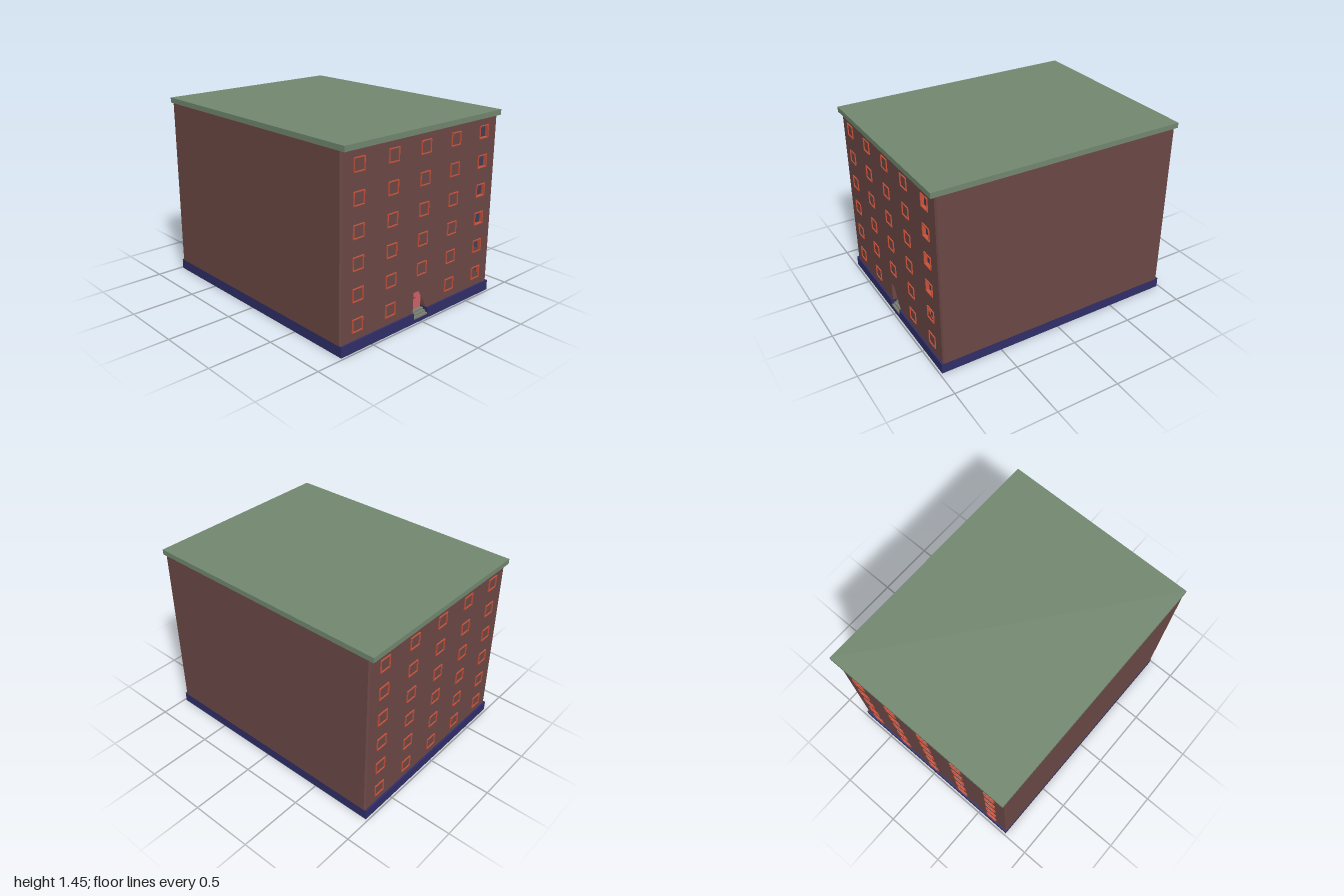
import * as THREE from 'three';

const mat = (color) => new THREE.MeshStandardMaterial({ color, side: THREE.DoubleSide, flatShading: true });
const M = {
  wall: mat(0x6b4845), base: mat(0x302e68), roof: mat(0x71876f), frame: mat(0xc8523a),
  glass: mat(0x403f58), door: mat(0xcd6065), step: mat(0x7a7d70), handle: mat(0x333333),
};

function add(parent, name, geometry, material, x = 0, y = 0, z = 0) {
  const mesh = new THREE.Mesh(geometry, material);
  mesh.name = name;
  mesh.position.set(x, y, z);
  parent.add(mesh);
  return mesh;
}

// Box given by its minimum and maximum corners
function box(parent, name, material, [x0, y0, z0], [x1, y1, z1]) {
  return add(parent, name, new THREE.BoxGeometry(x1 - x0, y1 - y0, z1 - z0), material,
    (x0 + x1) / 2, (y0 + y1) / 2, (z0 + z1) / 2);
}

const points = (list) => list.map(([x, y]) => new THREE.Vector2(x, y));
const rect = (w, h, x = 0, y = 0) => points([
  [x - w / 2, y - h / 2], [x + w / 2, y - h / 2], [x + w / 2, y + h / 2], [x - w / 2, y + h / 2]]);

const COLUMNS = [-0.628, -0.314, 0, 0.314, 0.628];
const ROWS = [0.191, 0.414, 0.637, 0.859, 1.082, 1.305];
const SIZE = 0.098, INNER = 0.085;
const BOTTOM = 0.08, TOP = 1.412, FACE = 0.97, DOOR = 0.073;

const frameShape = new THREE.Shape(rect(SIZE, SIZE));
frameShape.holes.push(new THREE.Path(rect(INNER, INNER)));
const frameGeometry = new THREE.ExtrudeGeometry(frameShape, { depth: 0.03, bevelEnabled: false });
const glassGeometry = new THREE.PlaneGeometry(INNER, INNER);

// Grid of framed windows on a facade facing +z
function windows(name, hasDoor) {
  const group = new THREE.Group();
  group.name = name;
  COLUMNS.forEach((x, c) => ROWS.forEach((y, r) => {
    if (hasDoor && c === 2 && r === 0) return;
    add(group, 'windowFrame', frameGeometry, M.frame, x, y, FACE - 0.022);
    add(group, 'windowGlass', glassGeometry, M.glass, x, y, FACE - 0.018);
  }));
  return group;
}

export function createModel() {
  const model = new THREE.Group();
  model.name = 'apartmentBlock';

  // Roof slab
  box(model, 'roof', M.roof, [-0.783, TOP, -1], [0.783, 1.452, 1]);

  // Plinth with a notch for the entrance steps
  box(model, 'plinth', M.base, [-0.783, 0, -0.983], [0.783, BOTTOM, 0.905]);
  const front = new THREE.Shape(points([
    [-0.783, 0], [0.783, 0], [0.783, BOTTOM], [DOOR, BOTTOM],
    [DOOR, 0.03], [-DOOR, 0.03], [-DOOR, BOTTOM], [-0.783, BOTTOM]]));
  add(model, 'plinthFront', new THREE.ExtrudeGeometry(front, { depth: 0.078, bevelEnabled: false }),
    M.base, 0, 0, 0.905);

  // Side, back and corner wall panels between neighbouring plan corners
  const plan = [[0.77, FACE], [0.783, 0.96], [0.783, -0.96], [0.77, -FACE],
    [-0.77, -FACE], [-0.783, -0.96], [-0.783, 0.96], [-0.77, FACE]];
  for (let i = 0; i < plan.length - 1; i++) {
    const [x0, z0] = plan[i], [x1, z1] = plan[i + 1];
    const panel = add(model, 'wallPanel',
      new THREE.PlaneGeometry(Math.hypot(x1 - x0, z1 - z0), TOP - BOTTOM), M.wall,
      (x0 + x1) / 2, (TOP + BOTTOM) / 2, (z0 + z1) / 2);
    panel.rotation.y = Math.atan2(z0 - z1, x1 - x0);
  }

  // Front wall with a slanted door opening and one column of open windows
  const wall = new THREE.Shape(points([
    [-0.77, BOTTOM], [-DOOR, BOTTOM], [-DOOR, 0.24], [-0.02, 0.24], [DOOR, BOTTOM],
    [0.77, BOTTOM], [0.77, TOP], [-0.77, TOP]]));
  const openX = COLUMNS[4], x0 = openX - INNER / 2, x1 = openX + INNER / 2;
  ROWS.slice(2).forEach((y) => wall.holes.push(new THREE.Path(rect(INNER, INNER, openX, y))));
  wall.holes.push(
    new THREE.Path(points([[x0, 0.425], [x1, 0.372], [x1, 0.456], [x0, 0.456]])),
    new THREE.Path(points([[0.602, 0.233], [x1, 0.174], [x1, 0.233]])));
  add(model, 'frontWall', new THREE.ShapeGeometry(wall), M.wall, 0, 0, FACE);

  // Windows on both facades
  model.add(windows('frontWindows', true));
  const back = windows('backWindows', false);
  back.rotation.y = Math.PI;
  model.add(back);

  // Recessed double door, its reveal and handles
  const entrance = new THREE.Group();
  entrance.name = 'entrance';
  model.add(entrance);
  for (const s of [-1, 1]) {
    box(entrance, 'doorLeaf', M.door, [s < 0 ? -DOOR : 0, 0.067, 0.905], [s < 0 ? 0 : DOOR, 0.24, 0.912]);
    box(entrance, 'doorHandle', M.handle, [s * 0.008 - 0.004, 0.155, 0.912], [s * 0.008 + 0.004, 0.158, 0.916]);
    box(entrance, 'doorReveal', M.wall,
      [s * (DOOR + 0.002) - 0.002, BOTTOM, 0.905], [s * (DOOR + 0.002) + 0.002, 0.24, 0.969]);
  }
  box(entrance, 'doorLintel', M.wall, [-DOOR, 0.24, 0.905], [DOOR, 0.244, 0.969]);

  // Entrance steps rising into the notch
  for (let i = 0; i < 3; i++) {
    box(entrance, 'step', M.step, [-DOOR, 0.03 + i * 0.0125, 0.906], [DOOR, 0.0425 + i * 0.0125, 0.982 - i * 0.02]);
  }
  return model;
}
